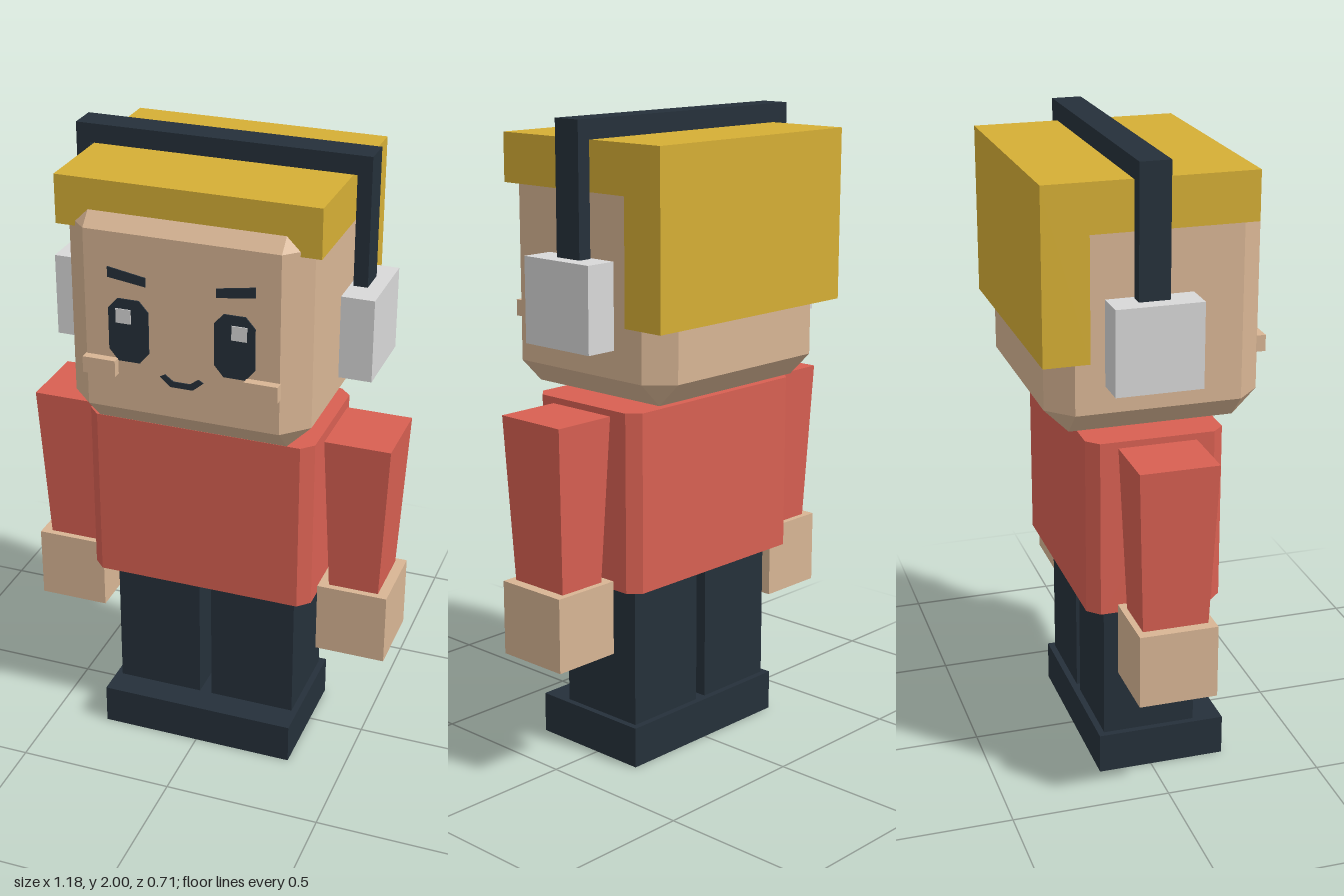
import * as THREE from 'three';
import { ConvexGeometry } from 'three/addons/geometries/ConvexGeometry.js';

const mat = (name, color) => {
  const m = new THREE.MeshStandardMaterial({ color });
  m.name = name;
  return m;
};

export function createModel() {
  const skin = mat('skin', 0xd8b594);
  const red = mat('red shirt', 0xd86052);
  const blond = mat('blond hair', 0xd5ae35);
  const navy = mat('dark navy', 0x25303a);
  const grey = mat('light grey', 0xd8d8d8);

  const model = new THREE.Group();
  model.name = 'figure';

  const add = (name, geometry, material) => {
    const mesh = new THREE.Mesh(geometry, material);
    mesh.name = name;
    model.add(mesh);
    return mesh;
  };

  // Box given by its limits on each axis
  const box = (name, material, [x0, x1], [y0, y1], [z0, z1]) => {
    const g = new THREE.BoxGeometry(Math.abs(x1 - x0), y1 - y0, z1 - z0);
    g.translate((x0 + x1) / 2, (y0 + y1) / 2, (z0 + z1) / 2);
    return add(name, g, material);
  };

  // Flat outline given depth, starting at z
  const plate = (name, material, points, z, depth) => {
    const shape = new THREE.Shape(points.map(([x, y]) => new THREE.Vector2(x, y)));
    const g = new THREE.ExtrudeGeometry(shape, { depth, bevelEnabled: false });
    g.translate(0, 0, z);
    return add(name, g, material);
  };

  // Box with cut edges: vertical ones only, or all twelve
  const chamferBox = (w, h, d, c, allEdges) => {
    const pts = [];
    const [x, y, z] = [w / 2, h / 2, d / 2];
    for (const i of [-1, 1]) for (const j of [-1, 1]) for (const k of [-1, 1]) {
      const yy = allEdges ? y - c : y;
      pts.push(new THREE.Vector3(i * x, j * yy, k * (z - c)));
      pts.push(new THREE.Vector3(i * (x - c), j * yy, k * z));
      if (allEdges) pts.push(new THREE.Vector3(i * (x - c), j * y, k * (z - c)));
    }
    return new ConvexGeometry(pts);
  };

  // Shoes and torso
  box('shoes', navy, [-0.32, 0.32], [0, 0.13], [-0.17, 0.24]);
  add('torso', chamferBox(0.73, 0.56, 0.428, 0.036, false), red).position.set(0, 0.866, 0);

  // Head with all edges cut
  add('head', chamferBox(0.75, 0.71, 0.66, 0.075, true), skin).position.set(0, 1.525, 0);

  // Hair: cap and back drop in one side profile (z, y)
  const profile = [[-0.357, 1.41], [-0.216, 1.41], [-0.216, 1.79], [0.289, 1.79], [0.289, 1.94], [-0.357, 1.94]];
  const hair = plate('hair', blond, profile, 0, 0.806);
  hair.rotation.y = -Math.PI / 2;
  hair.position.x = 0.403;

  // Headphone band over the head
  plate('headband', navy, [
    [-0.459, 1.6], [-0.415, 1.6], [-0.415, 1.941], [0.415, 1.941],
    [0.415, 1.6], [0.459, 1.6], [0.459, 2], [-0.459, 2],
  ], -0.09, 0.094);

  // Mirrored parts
  for (const s of [1, -1]) {
    const side = s > 0 ? 'left' : 'right';
    const mirror = (points) => points.map(([x, y]) => [s * x, y]);

    box(side + 'Leg', navy, [s * 0.02, s * 0.3], [0.13, 0.585], [-0.15, 0.147]);
    box(side + 'Hand', skin, [s * 0.367, s * 0.592], [0.38, 0.614], [-0.125, 0.12]);
    box(side + 'EarCup', grey, [s * 0.404, s * 0.506], [1.34, 1.6], [-0.173, 0.092]);
    box(side + 'Cheek', skin, [s * 0.2, s * 0.303], [1.36, 1.411], [0.32, 0.357]);

    // Sleeve narrowing towards the hand
    const arm = new THREE.BoxGeometry(0.208, 0.516, 0.244);
    const p = arm.attributes.position;
    for (let i = 0; i < p.count; i++) {
      if (p.getY(i) < 0) {
        p.setX(i, p.getX(i) * 0.77);
        p.setZ(i, p.getZ(i) * 0.84);
      }
    }
    arm.computeVertexNormals();
    add(side + 'Arm', arm, red).position.set(s * 0.479, 0.872, -0.003);

    // Eye, its glint and brow
    plate(side + 'Eye', navy, mirror([
      [0.13, 1.405], [0.197, 1.405], [0.226, 1.44], [0.226, 1.57],
      [0.197, 1.603], [0.13, 1.603], [0.101, 1.57], [0.101, 1.44],
    ]), 0.329, 0.005);
    plate(side + 'EyeGlint', grey, mirror([
      [0.155, 1.527], [0.202, 1.527], [0.202, 1.572], [0.155, 1.572],
    ]), 0.333, 0.004);
    plate(side + 'Brow', navy, mirror([
      [0.108, 1.65], [0.226, 1.666], [0.226, 1.698], [0.108, 1.678],
    ]), 0.329, 0.005);
  }

  // Smile
  plate('mouth', navy, [
    [-0.068, 1.373], [-0.035, 1.345], [0.035, 1.345], [0.068, 1.373],
    [0.052, 1.382], [0.026, 1.363], [-0.026, 1.363], [-0.052, 1.382],
  ], 0.329, 0.005);

  return model;
}
